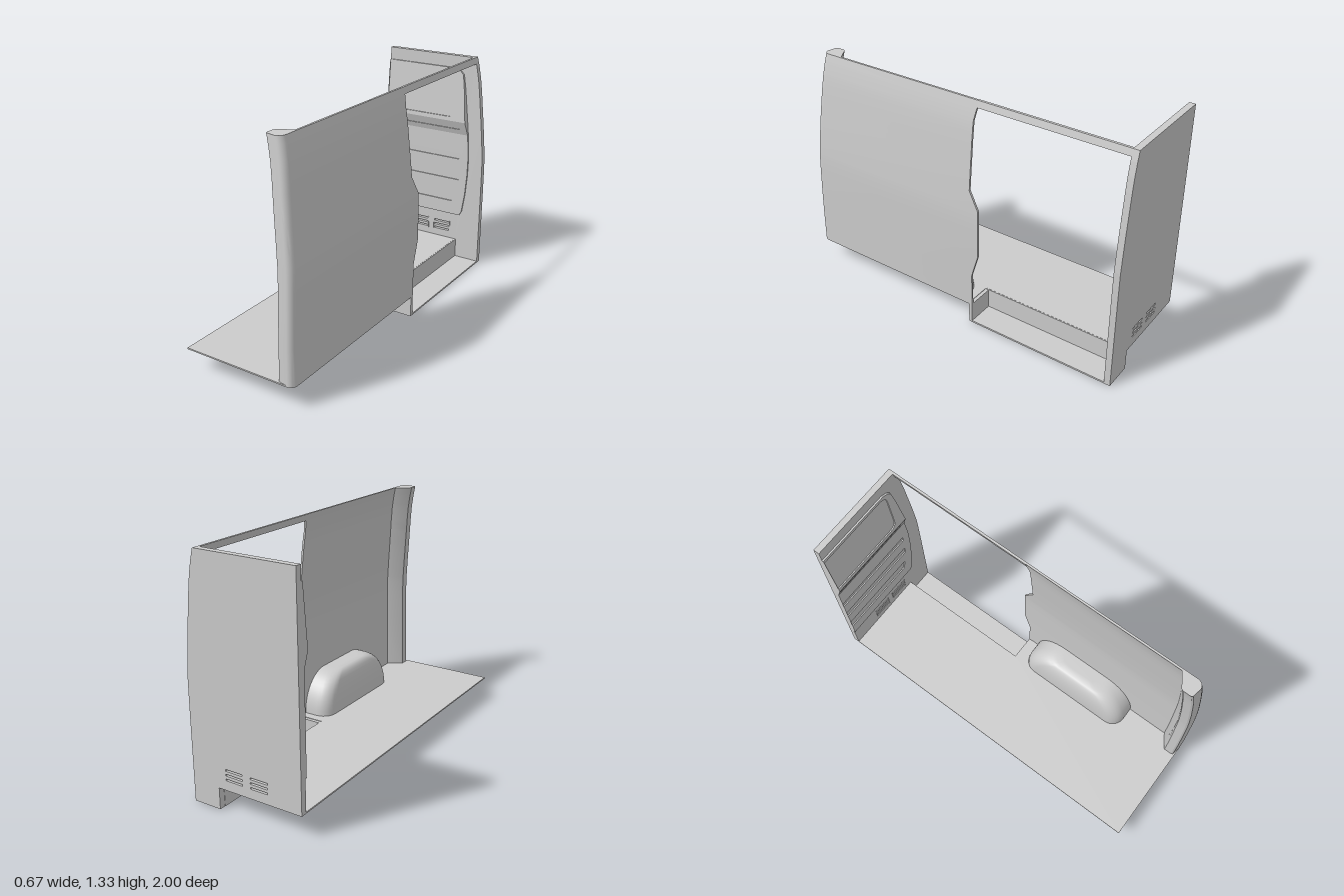
import * as THREE from 'three';
import { toCreasedNormals } from 'three/addons/utils/BufferGeometryUtils.js';

const mat = new THREE.MeshStandardMaterial({ color: 0xcccccc, side: THREE.DoubleSide });
const LEFT = -0.333, WALL = -0.965;

// Linear lookup in a table of [y, value] pairs
function lookup(table, y) {
  for (let i = 1; i < table.length; i++) {
    const [y0, a] = table[i - 1], [y1, b] = table[i];
    if (y <= y1) return a + (b - a) * Math.max(0, (y - y0) / (y1 - y0));
  }
  return table[table.length - 1][1];
}
// Outer side curve, front edge and door edge, by height
const sideX = y => lookup([[0.55, 0.333], [0.7, 0.331], [0.82, 0.321], [0.92, 0.311], [1.02, 0.3],
  [1.12, 0.289], [1.2, 0.278], [1.27, 0.264], [1.325, 0.25]], y);
const frontZ = y => lookup([[0.12, 1], [0.31, 0.997], [0.52, 0.99], [0.74, 0.98], [0.92, 0.968],
  [1.085, 0.953], [1.325, 0.928]], y);
const doorZ = y => lookup([[0.12, -0.13], [0.32, -0.13], [0.455, -0.17], [0.735, -0.17],
  [0.84, -0.11], [1.22, -0.107], [1.29, -0.12]], y);

// Skin between horizontal rings of [x, z] points, closed at both ends
function loft(levels, ringAt) {
  const pos = [], index = [], rings = levels.map(ringAt), n = rings[0].length;
  rings.forEach((ring, j) => ring.forEach(([x, z]) => pos.push(x, levels[j], z)));
  for (let j = 0; j < rings.length - 1; j++) {
    for (let i = 0; i < n; i++) {
      const k = (i + 1) % n, a = j * n + i, d = j * n + k;
      index.push(a, a + n, d + n, a, d + n, d);
    }
  }
  for (const j of [0, rings.length - 1]) {
    const tris = THREE.ShapeUtils.triangulateShape(rings[j].map(p => new THREE.Vector2(...p)), []);
    for (const [a, b, c] of tris) {
      const [p, q, r] = [a, b, c].map(v => rings[j][v]);
      const up = (q[1] - p[1]) * (r[0] - p[0]) - (q[0] - p[0]) * (r[1] - p[1]) > 0;
      const o = j * n;
      if (up === (j > 0)) index.push(o + a, o + b, o + c); else index.push(o + a, o + c, o + b);
    }
  }
  const g = new THREE.BufferGeometry();
  g.setAttribute('position', new THREE.Float32BufferAttribute(pos, 3));
  g.setIndex(index);
  return toCreasedNormals(g, 0.5);
}

// Quarter arc of [x, z] points
function arc(cx, cz, rx, rz, from, steps = 6) {
  return Array.from({ length: steps + 1 }, (_, i) => {
    const a = from + (i / steps) * Math.PI / 2;
    return [cx + rx * Math.cos(a), cz + rz * Math.sin(a)];
  });
}

// Opening that is square on the left and rounded on the right
function slot(x0, y0, x1, y1, r, slant = 0) {
  const p = new THREE.Path(), xb = x1 - slant;
  p.moveTo(x0, y0);
  p.lineTo(xb - r, y0);
  p.quadraticCurveTo(xb, y0, xb + slant * 0.2, y0 + r);
  p.lineTo(x1, y1 - r);
  p.quadraticCurveTo(x1, y1, x1 - r, y1);
  p.lineTo(x0, y1);
  p.closePath();
  return p;
}

function plate(points, holes, depth) {
  const shape = new THREE.Shape(points.map(p => new THREE.Vector2(...p)));
  shape.holes.push(...holes);
  return new THREE.ExtrudeGeometry(shape, { depth, bevelEnabled: false, curveSegments: 6 });
}

export function createModel() {
  const model = new THREE.Group();
  const add = (name, geometry, parent = model) => {
    const m = new THREE.Mesh(geometry, mat);
    m.name = name;
    parent.add(m);
    return m;
  };
  const box = (name, x0, x1, y0, y1, z0, z1) =>
    add(name, new THREE.BoxGeometry(x1 - x0, y1 - y0, z1 - z0))
      .position.set((x0 + x1) / 2, (y0 + y1) / 2, (z0 + z1) / 2);

  // Floor with the step cut out of its side
  const floor = plate([[LEFT, 1], [LEFT, -1], [0.17, -1], [0.17, -0.11], [0.333, -0.11], [0.333, 0.96],
    [0.32, 0.99], [0.29, 1]], [], 0.008);
  floor.rotateX(Math.PI / 2).translate(0, 0.128, 0);
  add('floor', floor);

  // Sunken door step
  box('stepTread', 0.17, 0.333, 0, 0.01, WALL, -0.11);
  box('stepRiser', 0.168, 0.176, 0, 0.127, WALL, -0.11);
  box('stepEnd', 0.17, 0.333, 0, 0.125, -0.13, -0.11);

  // Side wall and front pillar in one skin
  const levels = [0.12, 0.32, 0.455, 0.6, 0.7, 0.735, 0.78, 0.84, 0.92, 0.97, 1.02, 1.07, 1.12,
    1.16, 1.2, 1.22, 1.27, 1.29, 1.325];
  add('sideWallAndPillar', loft(levels, y => {
    const x = sideX(y), f = frontZ(y), d = doorZ(y);
    return [[x, d], ...arc(x - 0.035, f - 0.04, 0.035, 0.04, 0), [x - 0.088, f - 0.01],
      [x - 0.094, f - 0.02], [x - 0.094, f - 0.066], [x - 0.088, f - 0.074],
      [x - 0.012, f - 0.122], [x - 0.012, d]];
  }));

  // Rail over the door
  add('doorRail', loft([1.288, 1.325], y => {
    const x = sideX(y);
    return [[x, WALL], [x, -0.115], [x - 0.014, -0.115], [x - 0.014, WALL]];
  }));

  // Rear wall with two groups of vent slots
  const vents = [];
  for (const x of [-0.135, 0.018]) {
    for (const y of [0.174, 0.2, 0.226]) vents.push(slot(x, y, x + 0.105, y + 0.01, 0.004));
  }
  const edge = levels.map(y => [sideX(y), y]);
  add('rearWall', plate([[LEFT, 0.12], [0.17, 0.12], [0.17, 0], [0.333, 0], ...edge, [LEFT, 1.325]],
    vents, 1 + WALL).translate(0, 0, -1));

  // Pressed lining: each piece is a backing plate plus a pierced face, leaning out to a ledge
  const bulge = y => y > 0.925 ? 0.03 * (1.25 - y) / 0.325 : 0.03 * Math.max(0, (y - 0.84) / 0.085);
  const lean = g => {
    const p = g.attributes.position;
    for (let i = 0; i < p.count; i++) p.setZ(i, p.getZ(i) + bulge(p.getY(i)));
    g.computeVertexNormals();
    return g;
  };
  const H = LEFT + 0.0005;
  const pieces = [
    ['upperLining', [[LEFT, 0.925], [0.221, 0.925], [0.21, 1.02], [0.199, 1.12], [0.184, 1.215],
      [0.165, 1.235], [0.13, 1.25], [LEFT, 1.25]], [slot(H, 0.95, 0.148, 1.232, 0.05)]],
    ['ledgeLining', [[LEFT, 0.84], [0.23, 0.84], [0.221, 0.925], [LEFT, 0.925]],
      [slot(H, 0.873, 0.187, 0.893, 0.008)]],
    ['lowerLining', [[LEFT, 0.302], [0.195, 0.302], [0.21, 0.33], [0.228, 0.45], [0.238, 0.58],
      [0.24, 0.7], [0.23, 0.84], [LEFT, 0.84]],
      [slot(H, 0.678, 0.194, 0.714, 0.012), slot(H, 0.54, 0.188, 0.59, 0.012),
        slot(H, 0.39, 0.165, 0.455, 0.012, 0.02)]],
  ];
  const lining = new THREE.Group();
  lining.name = 'rearLining';
  model.add(lining);
  for (const [name, outline, holes] of pieces) {
    add(name + 'Backing', lean(plate(outline, [], 0.033).translate(0, 0, WALL - 0.03)), lining);
    add(name + 'Face', lean(plate(outline, holes, 0.007).translate(0, 0, WALL + 0.003)), lining);
  }

  // Frames around the vents
  for (const x of [-0.142, 0.011]) {
    for (const s of [0, 0.116]) box('ventFrame', x + s, x + s + 0.003, 0.165, 0.243, WALL, WALL + 0.003);
  }

  // Wheel arch: rounded plan rings shrinking towards a flat top
  const angles = Array.from({ length: 13 }, (_, i) => (i / 12) * Math.PI / 2);
  const heights = angles.map(a => 0.124 + 0.235 * Math.sin(a));
  add('wheelArch', loft(heights, (y, i) => {
    const c = Math.max(0, Math.cos(angles[i]));
    const x = 0.245 - 0.08 * Math.sqrt(c), h = 0.15 + 0.195 * c, r = 0.08, mid = 0.285;
    return [[0.326, mid + h], ...arc(x + r, mid + h - r, r, r, Math.PI / 2),
      ...arc(x + r, mid - h + r, r, r, Math.PI), [0.326, mid - h]];
  }));

  return model;
}
